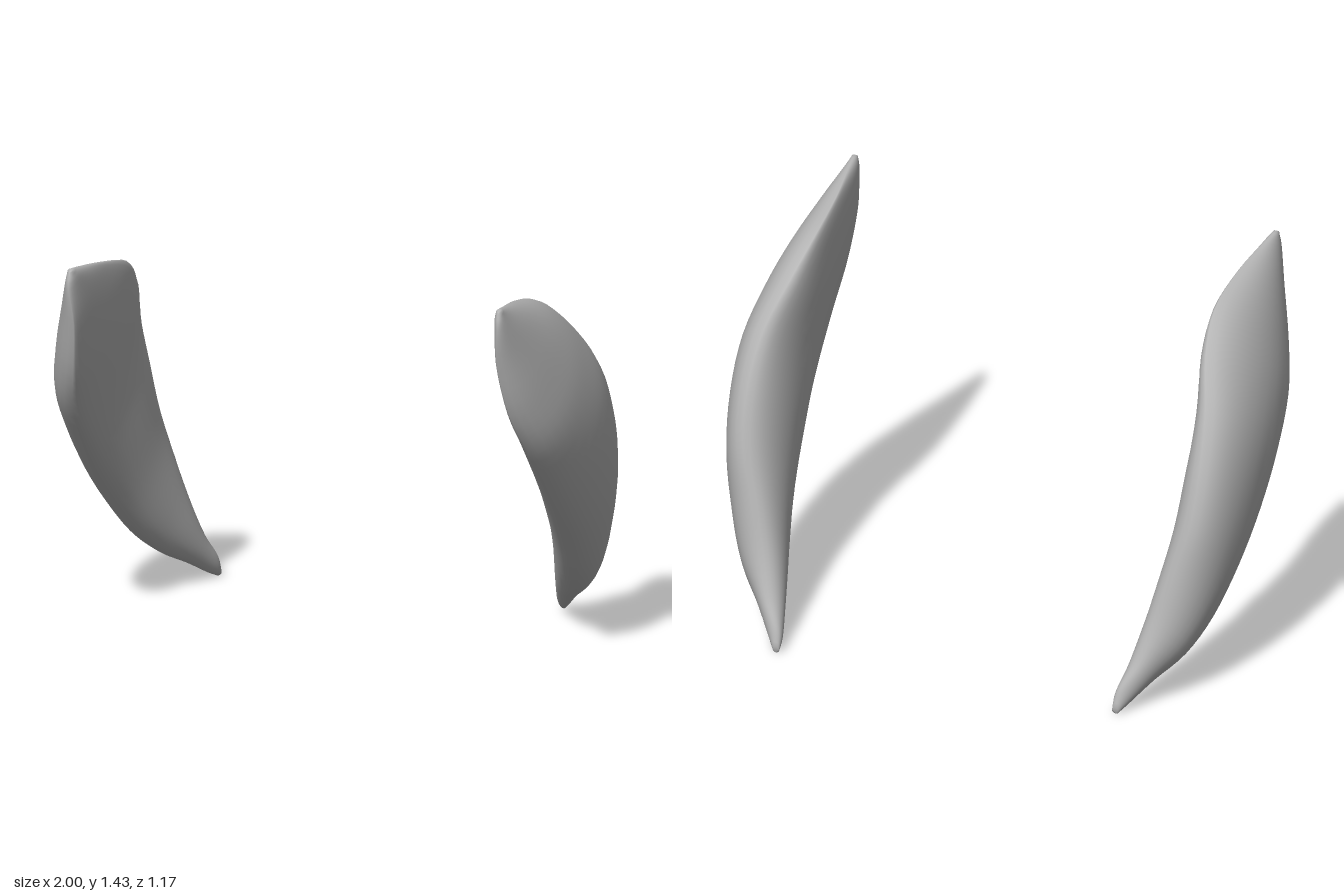
import * as THREE from 'three';

// Stations from the top front tip to the bottom back tip:
// [lower edge x, y, z], [upper edge x, y, z], [outer x, inner x] at mid width
const STATIONS = [
  [[0.81, 1.42, 0.580], [0.81, 1.432, 0.565], [0.82, 0.80]],
  [[0.81, 1.36, 0.590], [0.80, 1.42, 0.48], [0.835, 0.785]],
  [[0.80, 1.22, 0.565], [0.775, 1.39, 0.30], [0.875, 0.77]],
  [[0.825, 1.02, 0.50], [0.77, 1.335, 0.08], [0.93, 0.76]],
  [[0.86, 0.86, 0.40], [0.80, 1.23, -0.08], [0.975, 0.76]],
  [[0.87, 0.69, 0.25], [0.85, 1.08, -0.21], [1.0, 0.77]],
  [[0.87, 0.53, 0.10], [0.87, 0.90, -0.31], [0.995, 0.76]],
  [[0.85, 0.38, -0.05], [0.86, 0.70, -0.38], [0.97, 0.745]],
  [[0.81, 0.235, -0.20], [0.81, 0.50, -0.425], [0.92, 0.715]],
  [[0.765, 0.14, -0.33], [0.765, 0.33, -0.465], [0.855, 0.685]],
  [[0.715, 0.08, -0.44], [0.72, 0.19, -0.515], [0.765, 0.66]],
  [[0.67, 0.025, -0.53], [0.67, 0.10, -0.56], [0.70, 0.64]],
  [[0.655, 0.004, -0.575], [0.655, 0.03, -0.583], [0.665, 0.64]],
];

const curve = (i) => new THREE.CatmullRomCurve3(
  STATIONS.map((s) => new THREE.Vector3(s[i][0], s[i][1], s[i][2] ?? 0)), false, 'catmullrom', 0.5);

// Curved lens-shaped blade; side is 1 for the left, -1 for the right
function bladeGeometry(side) {
  const lower = curve(0), upper = curve(1), bulge = curve(2);
  const rows = 48, sides = 28;
  const positions = [], index = [];
  for (let r = 0; r <= rows; r++) {
    const t = r / rows;
    const a = lower.getPoint(t), b = upper.getPoint(t), w = bulge.getPoint(t);
    const midX = (a.x + b.x) / 2;
    for (let k = 0; k < sides; k++) {
      const angle = (k / sides) * Math.PI * 2;
      const p = a.clone().lerp(b, (1 - Math.cos(angle)) / 2);
      const s = Math.sin(angle);
      p.x += s > 0 ? s * (w.x - midX) : s * (midX - w.y);
      positions.push(p.x * side, p.y, p.z);
    }
  }
  const face = (a, b, c) => (side > 0 ? index.push(a, b, c) : index.push(a, c, b));
  for (let r = 0; r < rows; r++) {
    for (let k = 0; k < sides; k++) {
      const n = (k + 1) % sides;
      const a = r * sides + k, b = r * sides + n;
      face(a, a + sides, b);
      face(b, a + sides, b + sides);
    }
  }
  // Close both tips
  const last = rows * sides;
  for (let k = 1; k < sides - 1; k++) {
    face(0, k, k + 1);
    face(last, last + k + 1, last + k);
  }
  const geometry = new THREE.BufferGeometry();
  geometry.setAttribute('position', new THREE.Float32BufferAttribute(positions, 3));
  geometry.setIndex(index);
  geometry.computeVertexNormals();
  return geometry;
}

export function createModel() {
  const group = new THREE.Group();
  group.name = 'bladePair';
  const grey = new THREE.MeshStandardMaterial({ color: 0xb4b4b4 });
  grey.name = 'grey';
  for (const [name, side] of [['leftBlade', 1], ['rightBlade', -1]]) {
    const blade = new THREE.Mesh(bladeGeometry(side), grey);
    blade.name = name;
    group.add(blade);
  }
  return group;
}
